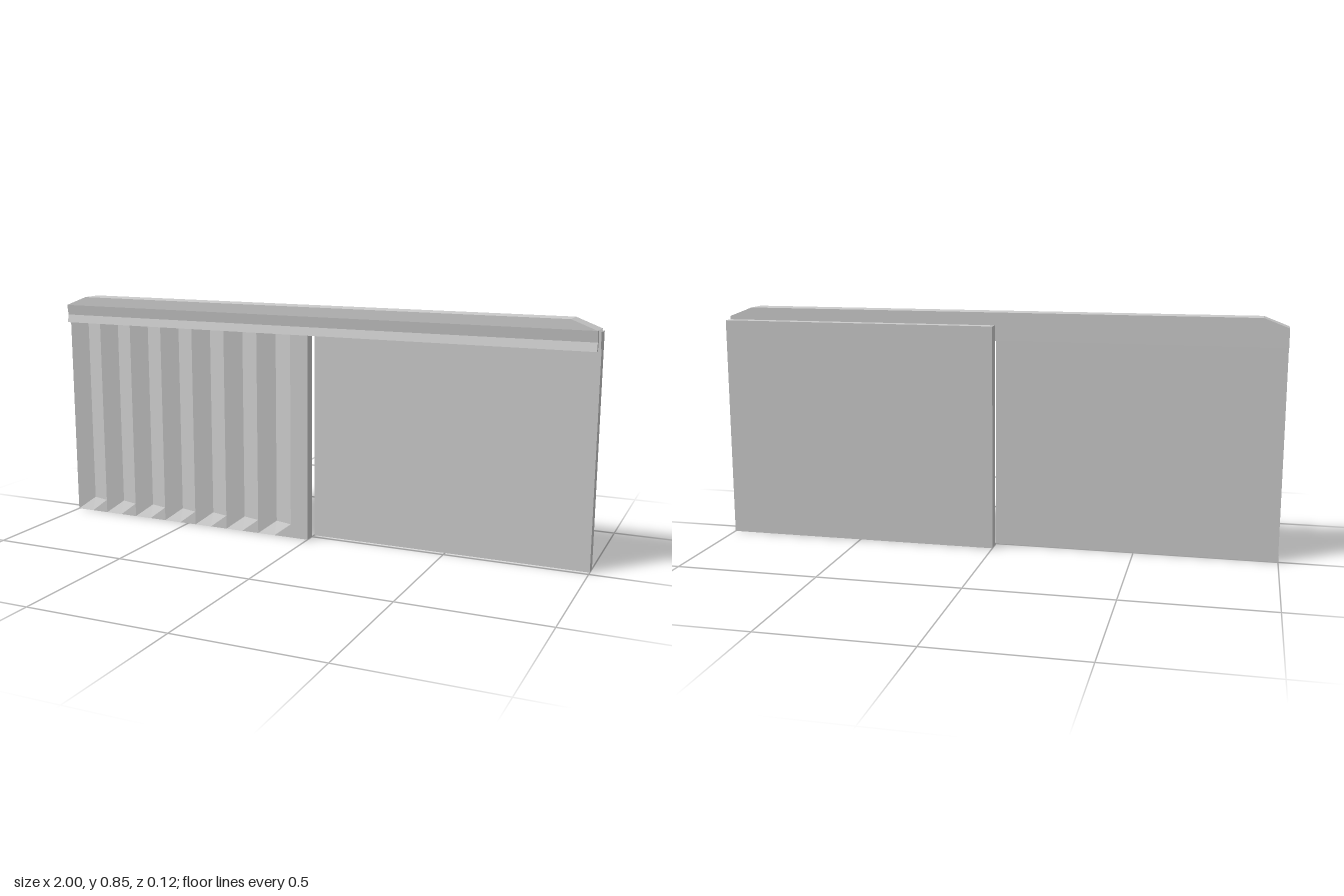
import * as THREE from 'three';

const material = new THREE.MeshStandardMaterial({ color: 0xcccccc });

function addPart(parent, name, geometry, x = 0, y = 0, z = 0) {
  const mesh = new THREE.Mesh(geometry, material);
  mesh.name = name;
  mesh.position.set(x, y, z);
  parent.add(mesh);
}

// Extrudes 2D points by a depth, centred on the extrusion axis
function extrude(points, depth) {
  const shape = new THREE.Shape(points.map(([a, b]) => new THREE.Vector2(a, b)));
  return new THREE.ExtrudeGeometry(shape, { depth, bevelEnabled: false }).translate(0, 0, -depth / 2);
}

// Panel cross-section as [z, y]; faceZ is the depth of the pleated face
const FRONT = 0.04;
const section = (faceZ) => [
  [0, 0], [FRONT, 0], [faceZ, 0.05], [faceZ, 0.75],
  [FRONT, 0.75], [0.027, 0.775], [FRONT, 0.8], [0, 0.8],
];

// Panel with zigzag pleats, lofted from cross-sections along x
function pleatedPanelGeometry() {
  const positions = [];
  const addTriangle = (a, b, c) => {
    if (new THREE.Triangle(a, b, c).getArea() < 1e-9) return;
    for (const p of [a, b, c]) positions.push(p.x, p.y, p.z);
  };

  const rows = [];
  for (let k = 0; k <= 15; k++) {
    const valley = k % 2 === 1 && k < 15;
    const x = -1 + k / 15;
    rows.push(section(valley ? 0.02 : FRONT).map(([z, y]) => new THREE.Vector3(x, y, z)));
  }
  for (let k = 0; k < 15; k++) {
    const near = rows[k], far = rows[k + 1];
    for (let i = 0; i < near.length; i++) {
      const j = (i + 1) % near.length;
      addTriangle(near[i], far[i], far[j]);
      addTriangle(near[i], far[j], near[j]);
    }
  }

  // End caps
  const outline = [0, 1, 4, 5, 6, 7];
  const contour = outline.map((i) => new THREE.Vector2(rows[0][i].z, rows[0][i].y));
  for (const [a, b, c] of THREE.ShapeUtils.triangulateShape(contour, [])) {
    const [i, j, k] = [outline[a], outline[b], outline[c]];
    addTriangle(rows[0][i], rows[0][j], rows[0][k]);
    addTriangle(rows[15][i], rows[15][k], rows[15][j]);
  }

  const geometry = new THREE.BufferGeometry();
  geometry.setAttribute('position', new THREE.Float32BufferAttribute(positions, 3));
  geometry.computeVertexNormals();
  return geometry;
}

export function createModel() {
  const model = new THREE.Group();
  model.name = 'slidingPanels';

  // Two panels, one in front of the other's plane
  addPart(model, 'pleatedPanel', pleatedPanelGeometry());
  addPart(model, 'plainPanel', new THREE.BoxGeometry(1, 0.8, 0.04), 0.5, 0.4, -0.04);

  // Clip rail: tapered crown, kinked front lip and straight rear lip
  const rail = new THREE.Group();
  rail.name = 'clipRail';
  model.add(rail);
  const crown = [[-1, 0.812], [1, 0.812], [0.915, 0.845], [-0.915, 0.845]];
  addPart(rail, 'railCrown', extrude(crown, 0.08), 0, 0, 0.02);
  const lip = [
    [0.043, 0.812], [0.038, 0.775], [0.045, 0.746],
    [0.06, 0.746], [0.054, 0.775], [0.06, 0.812],
  ];
  addPart(rail, 'frontLip', extrude(lip, 2).rotateY(-Math.PI / 2));
  addPart(rail, 'rearLip', new THREE.BoxGeometry(2, 0.066, 0.015), 0, 0.779, -0.0125);

  return model;
}
